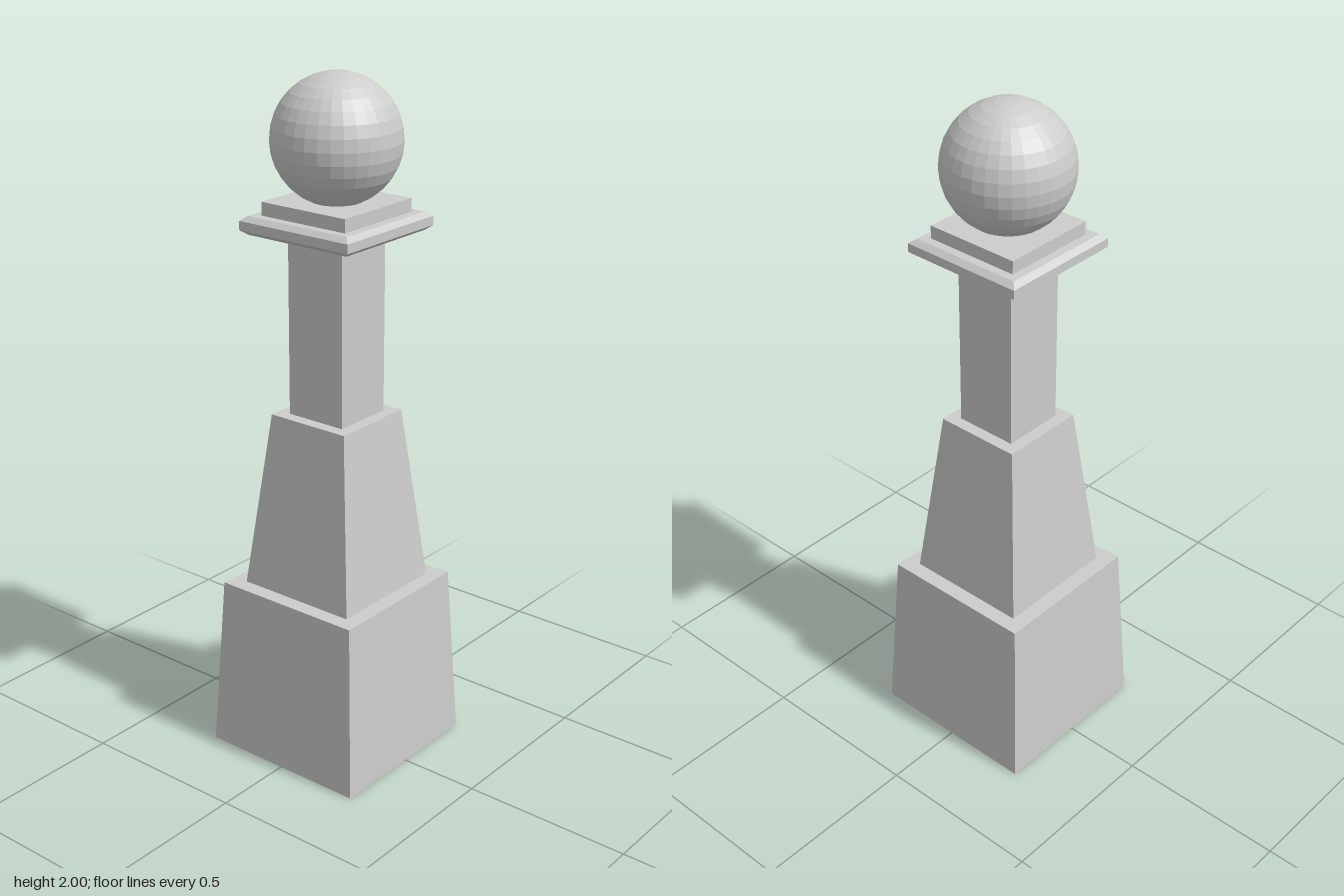
import * as THREE from 'three';

export function createModel() {
  const group = new THREE.Group();
  const stone = new THREE.MeshStandardMaterial({ color: 0xcccccc, flatShading: true });
  stone.name = 'lightGreyStone';

  const add = (name, geometry, y = 0) => {
    const mesh = new THREE.Mesh(geometry, stone);
    mesh.name = name;
    mesh.position.y = y;
    group.add(mesh);
  };

  // Square solid from [halfWidth, y] steps listed bottom to top, closed at both ends
  const squareSolid = (name, steps) => {
    const profile = steps.map(([half, y]) => new THREE.Vector2(half * Math.SQRT2, y));
    profile.unshift(new THREE.Vector2(0, steps[0][1]));
    profile.push(new THREE.Vector2(0, steps[steps.length - 1][1]));
    add(name, new THREE.LatheGeometry(profile, 4, Math.PI / 4));
  };

  // Tapered plinth and pedestal, straight shaft
  squareSolid('plinth', [[0.26, 0], [0.233, 0.52]]);
  squareSolid('pedestal', [[0.187, 0.52], [0.13, 1.04]]);
  squareSolid('shaft', [[0.094, 1.04], [0.094, 1.565]]);

  // Collar with chamfered rims, and the plate on it
  squareSolid('collar', [[0.17, 1.563], [0.187, 1.576], [0.187, 1.602], [0.17, 1.615]]);
  squareSolid('topPlate', [[0.144, 1.61], [0.144, 1.653]]);

  // Faceted ball finial
  add('ball', new THREE.SphereGeometry(0.181, 32, 16), 1.819);

  return group;
}
